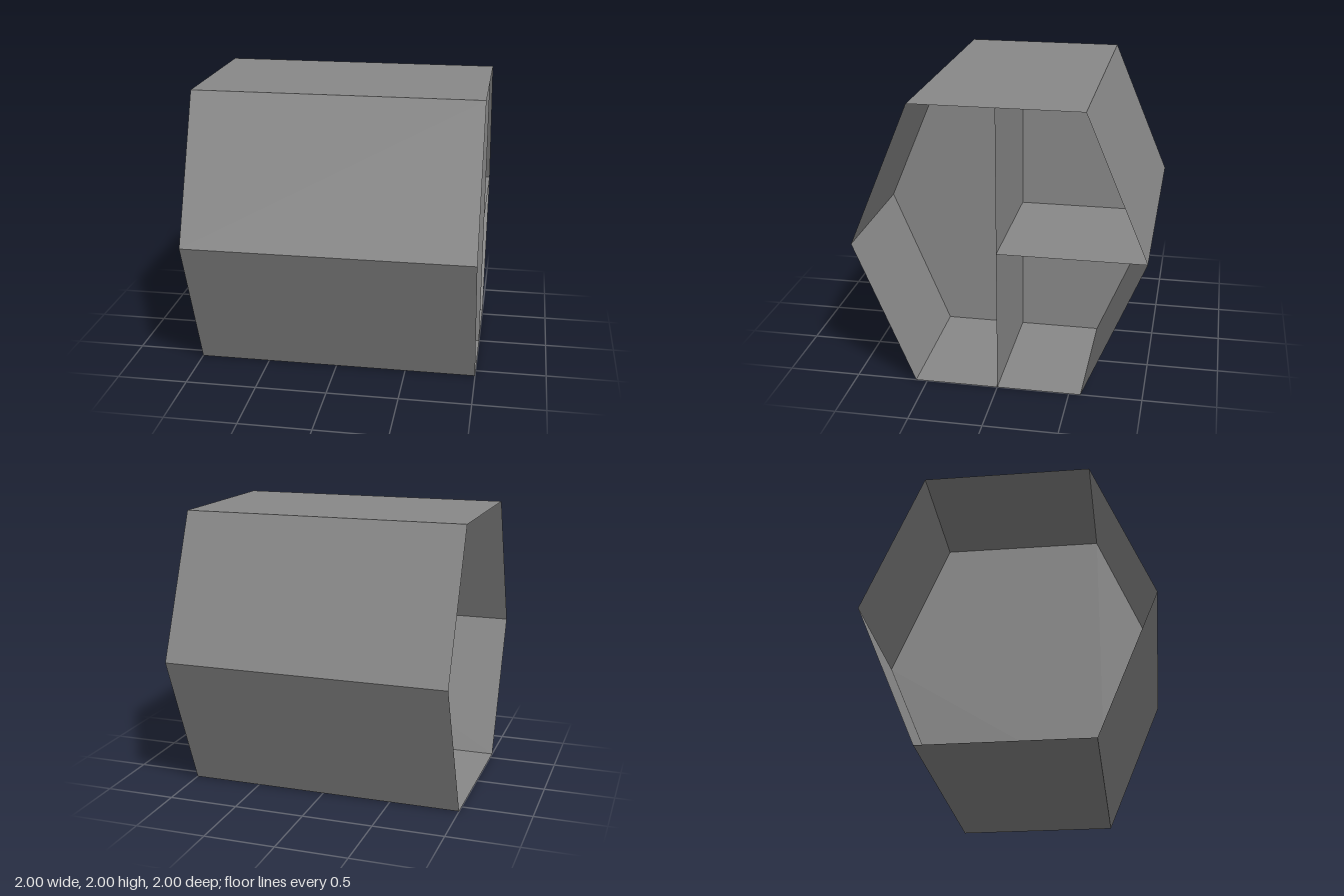
import * as THREE from 'three';

const LENGTH = 2;
// Hexagonal section as [z, y] corners
const SECTION = [[1, 1], [0.58, 2], [-0.58, 2], [-1, 1], [-0.58, 0], [0.58, 0]];

export function createModel() {
  const model = new THREE.Group();
  const grey = new THREE.MeshStandardMaterial({ color: 0x888888, side: THREE.DoubleSide, flatShading: true });
  grey.name = 'grey';

  const add = (name, geometry) => {
    const mesh = new THREE.Mesh(geometry, grey);
    mesh.name = name;
    model.add(mesh);
    return mesh;
  };

  // Flat sheet running along x from x0 to x1 between two [z, y] section points
  const sheet = (name, [za, ya], [zb, yb], x0, x1) => {
    const g = new THREE.BufferGeometry();
    g.setAttribute('position', new THREE.Float32BufferAttribute(
      [x0, ya, za, x1, ya, za, x1, yb, zb, x0, yb, zb], 3));
    g.setIndex([0, 1, 2, 0, 2, 3]);
    g.computeVertexNormals();
    return add(name, g);
  };

  // Six-sided outer shell, open at both ends
  const sides = ['frontUpper', 'top', 'backUpper', 'backLower', 'bottom', 'frontLower'];
  sides.forEach((side, i) =>
    sheet(side + 'Shell', SECTION[i], SECTION[(i + 1) % 6], -LENGTH / 2, LENGTH / 2));

  // Cross wall halfway along the shell
  const outline = new THREE.Shape(SECTION.map(([z, y]) => new THREE.Vector2(-z, y)));
  add('crossWall', new THREE.ShapeGeometry(outline).rotateY(Math.PI / 2));

  // Upright divider and half shelf in the +x half
  sheet('divider', [0, 0], [0, 2], 0, LENGTH / 2);
  sheet('shelf', [0, 1], [-1, 1], 0, LENGTH / 2);

  return model;
}
